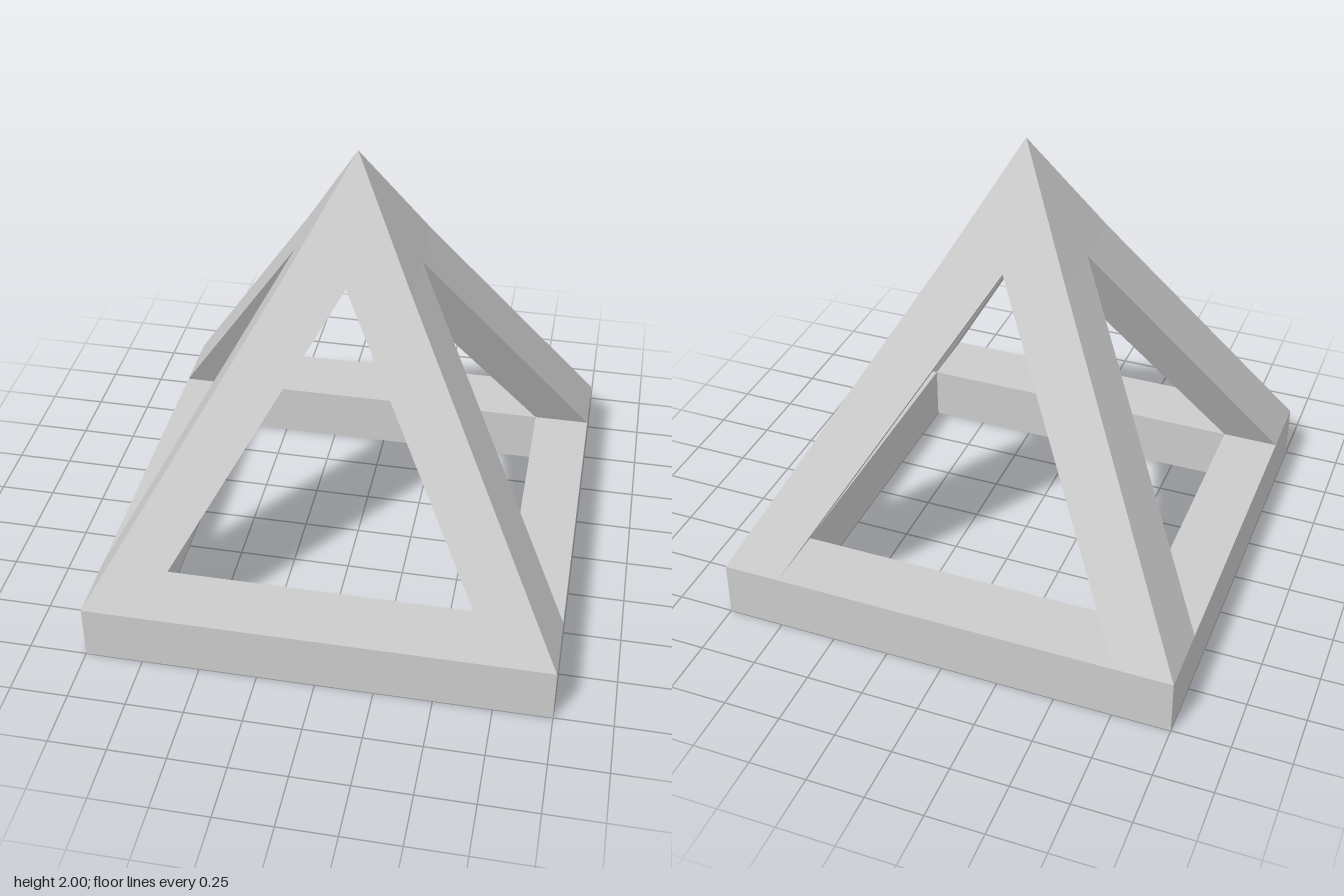
import * as THREE from 'three';

const BASE_TOP = 0.25; // top of the square base frame
const JOIN = 1.51; // height at which the four legs meet
const APEX = 2;
const INNER_X = 0.75, INNER_Z = 0.7; // half sizes of the base opening
const CAP = 0.27; // half width of the cap at the join

const material = new THREE.MeshStandardMaterial({ color: 0xcccccc, flatShading: true });

function addMesh(parent, name, geometry) {
  const mesh = new THREE.Mesh(geometry, material);
  mesh.name = name;
  parent.add(mesh);
  return mesh;
}

// Rectangle corners in order around the y axis
const rect = (x0, x1, z0, z1, y) =>
  [[x0, z0], [x1, z0], [x1, z1], [x0, z1]].map(([x, z]) => [x, y, z]);

// Four-sided leg between two rectangles, mirrored into the given quadrant
function legGeometry(sx, sz) {
  const low = rect(INNER_X, 1, INNER_Z, 1, BASE_TOP);
  const high = rect(0, CAP, 0, CAP, JOIN);
  const positions = [];
  for (let i = 0; i < 4; i++) {
    const j = (i + 1) % 4;
    const quad = [low[i], high[i], high[j], low[j]];
    if (sx * sz < 0) quad.reverse();
    for (const k of [0, 1, 2, 0, 2, 3]) {
      const [x, y, z] = quad[k];
      positions.push(x * sx, y, z * sz);
    }
  }
  const geometry = new THREE.BufferGeometry();
  geometry.setAttribute('position', new THREE.Float32BufferAttribute(positions, 3));
  geometry.computeVertexNormals();
  return geometry;
}

function baseGeometry() {
  const square = (Kind, w, d) =>
    new Kind([[-w, -d], [w, -d], [w, d], [-w, d]].map(([x, y]) => new THREE.Vector2(x, y)));
  const shape = square(THREE.Shape, 1, 1);
  shape.holes.push(square(THREE.Path, INNER_X, INNER_Z));
  return new THREE.ExtrudeGeometry(shape, { depth: BASE_TOP, bevelEnabled: false })
    .rotateX(-Math.PI / 2);
}

export function createModel() {
  const model = new THREE.Group();
  model.name = 'pyramidFrame';

  addMesh(model, 'baseFrame', baseGeometry());

  // Slanted corner legs
  for (const [sx, side] of [[1, 'Left'], [-1, 'Right']]) {
    for (const [sz, end] of [[1, 'front'], [-1, 'back']]) {
      addMesh(model, `${end}${side}Leg`, legGeometry(sx, sz));
    }
  }

  // Solid tip closing the top
  const cap = new THREE.ConeGeometry(CAP * Math.SQRT2, APEX - JOIN, 4, 1, true).rotateY(Math.PI / 4);
  addMesh(model, 'apexCap', cap).position.y = (APEX + JOIN) / 2;

  return model;
}
